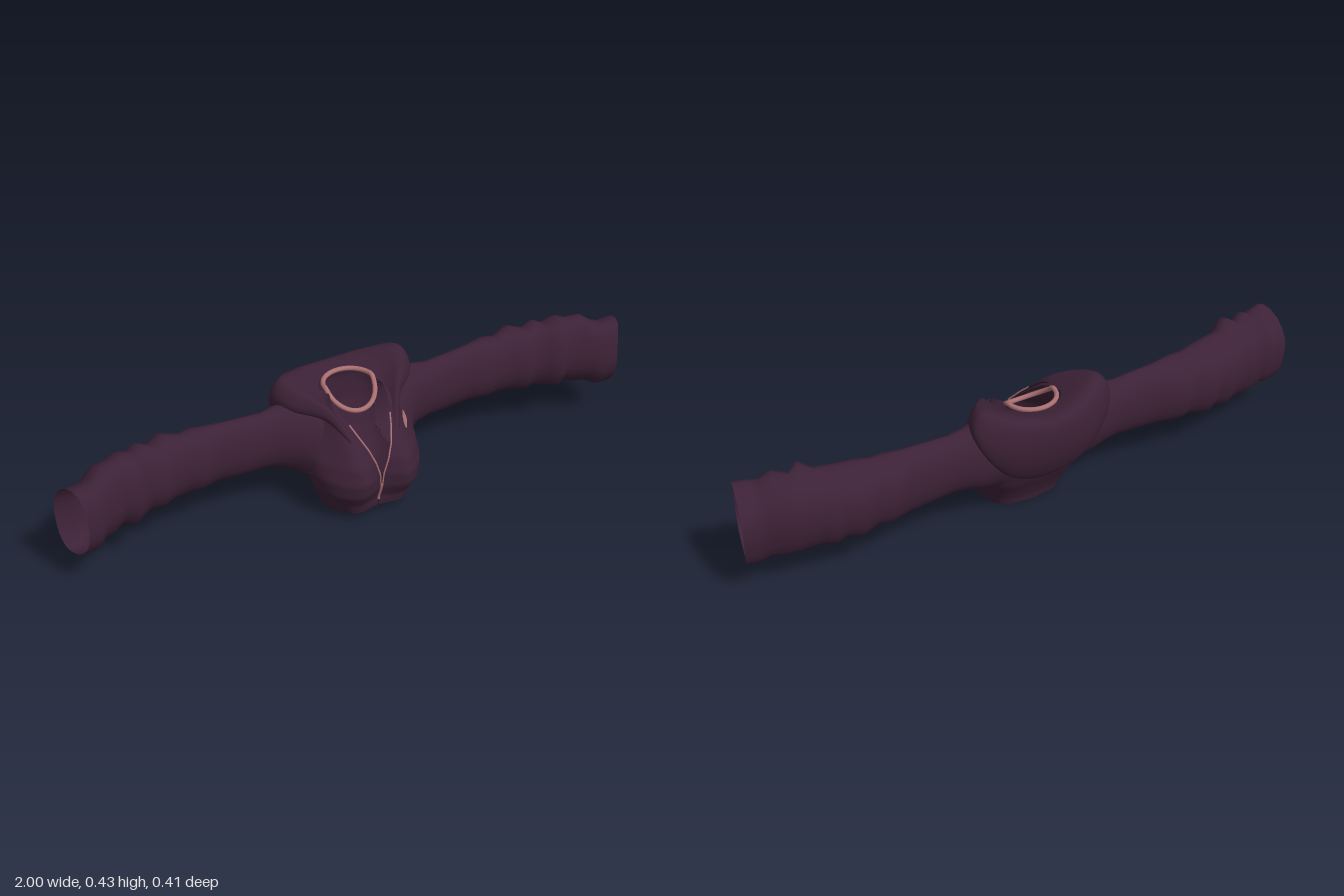
import * as THREE from 'three';

const V = (x, y, z) => new THREE.Vector3(x, y, z);
const mirrorX = p => V(-p.x, p.y, p.z);

// Skin a grid of points into a smooth surface, leaving out quads that fail keep(corner, corner)
function loft(rows, closed = false, keep = () => true) {
  const n = rows[0].length, pos = [], idx = [];
  rows.forEach(r => r.forEach(p => pos.push(p.x, p.y, p.z)));
  for (let i = 0; i < rows.length - 1; i++) {
    for (let j = 0; j < (closed ? n : n - 1); j++) {
      const k = (j + 1) % n, a = i * n + j, b = i * n + k;
      if (keep(rows[i][j], rows[i + 1][k])) idx.push(a, b, a + n, b, b + n, a + n);
    }
  }
  const g = new THREE.BufferGeometry();
  g.setAttribute('position', new THREE.Float32BufferAttribute(pos, 3));
  g.setIndex(idx);
  g.computeVertexNormals();
  return g;
}

// Torso levels: y, half width, front gap, front z, back z, front edge setback, side fullness
const LEVELS = [
  [0, 0.14, 0.0015, 0.157, -0.05, 0.01, 0.7],
  [0.03, 0.15, 0.0015, 0.162, -0.058, 0.012, 0.72],
  [0.065, 0.16, 0.0015, 0.168, -0.075, 0.018, 0.74],
  [0.11, 0.178, 0.002, 0.197, -0.1, 0.03, 0.72],
  [0.16, 0.188, 0.006, 0.205, -0.12, 0.035, 0.66],
  [0.21, 0.188, 0.022, 0.188, -0.135, 0.018, 0.58],
  [0.255, 0.184, 0.04, 0.145, -0.145, -0.01, 0.52],
  [0.3, 0.178, 0.062, 0.097, -0.148, -0.02, 0.48],
  [0.34, 0.165, 0.08, 0.06, -0.148, -0.015, 0.48],
  [0.37, 0.14, 0.09, 0.03, -0.143, -0.01, 0.5],
  [0.385, 0.108, 0.095, 0, -0.13, 0, 0.5],
];

// Point on the left half of the torso; t runs from front edge (0) to centre back (1)
function torsoPoint(level, t) {
  const [y, w, g, zf, zb, setback, f] = level;
  const z0 = (zf + zb) / 2;
  const p = new THREE.CatmullRomCurve3([
    V(g, 0, zf - setback), V(Math.max(0.08, (g + w * 0.8) / 2), 0, zf),
    V(w * 0.8, 0, z0 + f * (zf - z0)), V(w, 0, z0),
    V(w * 0.72, 0, zb + 0.02), V(0, 0, zb),
  ]).getPoint(t);
  // hem rises towards the front
  p.y = y + 0.03 * Math.max(0, 1 - y / 0.065) * (p.z - zb) / (zf - zb);
  return p;
}

function levelAt(y) {
  let i = 0;
  while (i < LEVELS.length - 2 && LEVELS[i + 1][0] < y) i++;
  const a = LEVELS[i], b = LEVELS[i + 1], k = (y - a[0]) / (b[0] - a[0]);
  return a.map((v, j) => v + (b[j] - v) * k);
}

// Elliptical armhole in the side of the torso
const ARM = { y: 0.2325, z: -0.03, ry: 0.1325, rz: 0.085 };
const outsideArmhole = (p, q) => Math.abs(p.x + q.x) < 0.2 ||
  Math.hypot(((p.y + q.y) / 2 - ARM.y) / ARM.ry, ((p.z + q.z) / 2 - ARM.z) / ARM.rz) > 0.97;

function armholePoint(c, s) {
  const level = levelAt(ARM.y + ARM.ry * s), z = ARM.z + ARM.rz * c;
  let lo = 0.15, hi = 0.9;
  for (let i = 0; i < 20; i++) {
    const mid = (lo + hi) / 2;
    if (torsoPoint(level, mid).z > z) lo = mid; else hi = mid;
  }
  return torsoPoint(level, lo);
}

function torsoGeometry() {
  const rows = [];
  for (let i = 0; i <= 44; i++) {
    const level = levelAt(i / 44 * 0.385), half = [];
    for (let j = 0; j <= 40; j++) half.push(torsoPoint(level, j / 40));
    rows.push([...half, ...half.slice(0, -1).reverse().map(mirrorX)].reverse());
  }
  return loft(rows, false, outsideArmhole);
}

// Sleeve stations: x, top, bottom, front z, back z
const SLEEVE = [
  [0.205, 0.368, 0.124, 0.022, -0.121],
  [0.25, 0.365, 0.144, 0, -0.118], [0.3, 0.357, 0.154, -0.01, -0.11],
  [0.4, 0.364, 0.152, -0.016, -0.112], [0.46, 0.368, 0.152, -0.018, -0.118],
  [0.53, 0.373, 0.148, 0.004, -0.145], [0.57, 0.371, 0.149, -0.006, -0.127],
  [0.63, 0.386, 0.142, 0.008, -0.155], [0.675, 0.376, 0.14, 0.024, -0.128],
  [0.715, 0.39, 0.136, 0.014, -0.137], [0.745, 0.38, 0.138, 0.035, -0.122],
  [0.785, 0.405, 0.131, 0.064, -0.115], [0.82, 0.384, 0.136, 0.036, -0.108],
  [0.865, 0.395, 0.128, 0.066, -0.092], [0.9, 0.37, 0.128, 0.07, -0.068],
  [0.93, 0.366, 0.114, 0.094, -0.065], [0.977, 0.373, 0.117, 0.1, -0.058],
];

function sleeveGeometry(side) {
  const ring = fn => Array.from({ length: 20 }, (_, j) => {
    const a = -side * j / 20 * Math.PI * 2, p = fn(Math.cos(a), Math.sin(a));
    return side > 0 ? p : mirrorX(p);
  });
  const tube = SLEEVE.map(([x, top, bot, zf, zb]) => {
    const k = Math.max(0, (x - 0.25) / 0.727);
    return ring((c, s) => V(
      x - 0.023 * k * c,
      (top + bot) / 2 + s * (top - bot) / 2,
      (zf + zb) / 2 + c * (zf - zb) / 2 + 0.026 * k * s * (1 - c * c)));
  });
  return loft([ring(armholePoint), ...tube], true);
}

// Hood: sections (tucked hem, outer edge, outer swell, rim, neck) from lapel to centre back
const HOOD = [
  [V(0.085, 0.276, 0.122), V(0.088, 0.28, 0.126), V(0.086, 0.288, 0.126), V(0.08, 0.292, 0.125), V(0.064, 0.282, 0.126)],
  [V(0.128, 0.33, 0.035), V(0.134, 0.335, 0.045), V(0.138, 0.355, 0.048), V(0.125, 0.375, 0.05), V(0.095, 0.345, 0.05)],
  [V(0.2, 0.345, -0.035), V(0.215, 0.352, -0.03), V(0.222, 0.383, -0.035), V(0.19, 0.421, -0.035), V(0.105, 0.375, -0.02)],
  [V(0.215, 0.32, -0.105), V(0.238, 0.33, -0.115), V(0.242, 0.385, -0.112), V(0.207, 0.434, -0.1), V(0.09, 0.387, -0.075)],
  [V(0.13, 0.2, -0.12), V(0.145, 0.2, -0.145), V(0.16, 0.3, -0.175), V(0.13, 0.408, -0.165), V(0.052, 0.387, -0.108)],
  [V(0, 0.16, -0.118), V(0, 0.152, -0.145), V(0, 0.26, -0.198), V(0, 0.388, -0.196), V(0, 0.385, -0.12)],
];

function hoodGeometry() {
  const stations = [...HOOD, ...HOOD.slice(0, -1).reverse().map(s => s.map(mirrorX))];
  const rails = HOOD[0].map((_, k) =>
    new THREE.CatmullRomCurve3(stations.map(s => s[k])).getPoints(50));
  return loft(rails[0].map((_, i) =>
    new THREE.CatmullRomCurve3(rails.map(r => r[i])).getPoints(16)));
}

export function createModel() {
  const cloth = new THREE.MeshStandardMaterial({ color: 0x3d2237, side: THREE.DoubleSide });
  cloth.name = 'plum cloth';
  const trim = new THREE.MeshStandardMaterial({ color: 0xab7072, side: THREE.DoubleSide });
  trim.name = 'rose trim';

  const model = new THREE.Group();
  model.name = 'croppedHoodedJacket';
  const add = (name, geo, mat) => {
    const m = new THREE.Mesh(geo, mat);
    m.name = name;
    model.add(m);
  };

  add('torso', torsoGeometry(), cloth);
  add('hood', hoodGeometry(), cloth);
  add('leftSleeve', sleeveGeometry(1), cloth);
  add('rightSleeve', sleeveGeometry(-1), cloth);

  // Neck ring: level round the back, dipping at the front
  const loop = [];
  for (let i = 0; i < 24; i++) {
    const a = i / 24 * Math.PI * 2, s = Math.sin(a);
    loop.push(V(0.083 * Math.cos(a), 0.39 - 0.06 * Math.max(0, s), -0.037 + 0.079 * s));
  }
  add('neckRing', new THREE.TubeGeometry(new THREE.CatmullRomCurve3(loop, true), 60, 0.008, 8, true), trim);

  // Zip along both front edges
  const edge = [];
  for (let y = 0.045; y < 0.33; y += 0.014) edge.push(torsoPoint(levelAt(y), 0).add(V(0, 0, 0.001)));
  const zip = path => new THREE.TubeGeometry(new THREE.CatmullRomCurve3(path), 50, 0.0028, 6);
  add('leftZip', zip(edge), trim);
  add('rightZip', zip(edge.map(mirrorX)), trim);

  // Small chest patch following the cloth
  const rows = [0.262, 0.27, 0.28, 0.29].map((y, r) => {
    const row = [], inset = r % 3 ? 0 : 0.025;
    for (let j = 0; j <= 6; j++) {
      const t = 0.25 + inset + j * (0.15 - 2 * inset) / 6;
      row.push(torsoPoint(levelAt(y), t).add(V(0.003, 0.003, 0.004)));
    }
    return row;
  });
  add('chestPatch', loft(rows), trim);

  return model;
}
